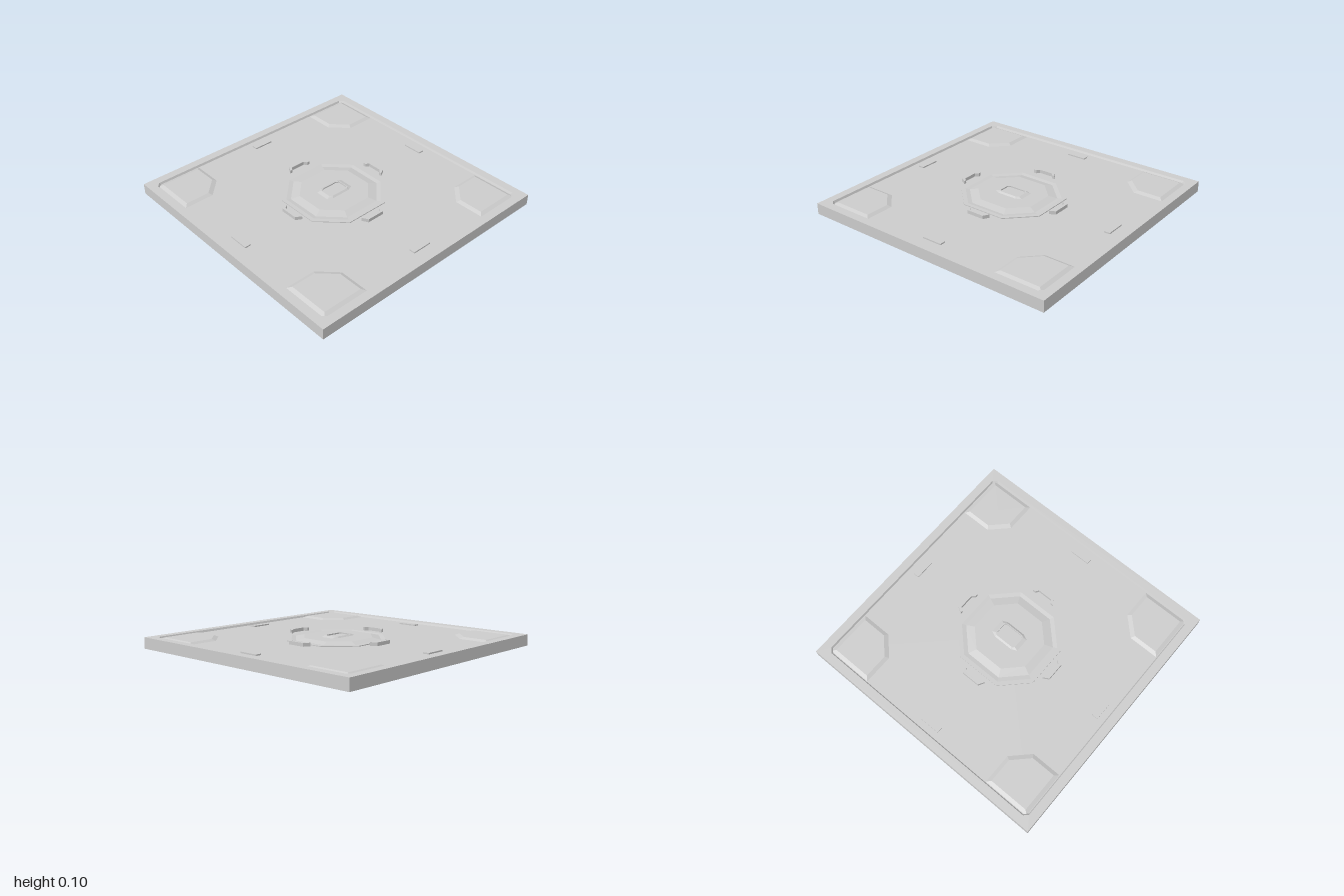
import * as THREE from 'three';

const material = new THREE.MeshStandardMaterial({ color: 0xcccccc, flatShading: true, side: THREE.DoubleSide });
const FRAME = 0.085; // top of the border and of the raised areas
const FLOOR = 0.07;  // sunken panel

// Rectangle with cut corners: half sizes a, b and corner cuts cx, cz
function cutRect(a, b, cx = 0, cz = cx) {
  return [
    [a, b - cz], [a, cz - b], [a - cx, -b], [cx - a, -b],
    [-a, cz - b], [-a, b - cz], [cx - a, b], [a - cx, b],
  ];
}

// Skin a stack of [outline, y] rings from the bottom up and close the last one
function loft(name, rings, closeBottom = false) {
  const pos = [];
  const tri = (...corners) => {
    const [a, b, c] = corners.map((p) => new THREE.Vector3(...p));
    if (new THREE.Triangle(a, b, c).getArea() > 1e-9) pos.push(...a, ...b, ...c);
  };
  const loops = rings.map(([pts, y]) => pts.map(([x, z]) => [x, y, z]));
  const n = loops[0].length;
  const cap = (loop, up) => {
    const mid = [0, 1, 2].map((k) => loop.reduce((s, p) => s + p[k], 0) / n);
    loop.forEach((p, i) => {
      const q = loop[(i + 1) % n];
      if (up) tri(mid, p, q); else tri(mid, q, p);
    });
  };
  for (let r = 0; r + 1 < loops.length; r++) {
    for (let i = 0; i < n; i++) {
      const j = (i + 1) % n, lo = loops[r], hi = loops[r + 1];
      tri(lo[i], lo[j], hi[j]);
      tri(lo[i], hi[j], hi[i]);
    }
  }
  cap(loops[loops.length - 1], true);
  if (closeBottom) cap(loops[0], false);
  const geometry = new THREE.BufferGeometry();
  geometry.setAttribute('position', new THREE.Float32BufferAttribute(pos, 3));
  geometry.computeVertexNormals();
  const mesh = new THREE.Mesh(geometry, material);
  mesh.name = name;
  return mesh;
}

// Corner pad outline, shrunk by d on every side
function padOutline(d) {
  const o = 0.925 - d, n = 0.56 + d, cut = 0.13 - d * 0.4;
  return [[o, o], [o, n], [n + cut, n], [n, n + cut], [n, o]];
}

// U-shaped bracket that opens towards the centre
function makeBracket() {
  const shape = new THREE.Shape([
    [-0.095, 0.39], [-0.07, 0.435], [0.07, 0.435], [0.095, 0.39],
    [0.075, 0.39], [0.057, 0.415], [-0.057, 0.415], [-0.075, 0.39],
  ].map(([x, z]) => new THREE.Vector2(x, -z)));
  const geometry = new THREE.ExtrudeGeometry(shape, { depth: 0.096 - FLOOR, bevelEnabled: false });
  geometry.rotateX(-Math.PI / 2).translate(0, FLOOR, 0);
  const mesh = new THREE.Mesh(geometry, material);
  mesh.name = 'bracket';
  return mesh;
}

export function createModel() {
  const model = new THREE.Group();
  model.name = 'floorTile';

  // Slab with a raised border around a sunken panel
  model.add(loft('slab', [
    [cutRect(1, 1), 0],
    [cutRect(1, 1), FRAME],
    [cutRect(0.936, 0.936, 0.03), FRAME],
    [cutRect(0.928, 0.928, 0.03), FLOOR],
  ], true));

  // Octagonal platform: flat rim, shallow moat, sloped sides
  const octagon = (r) => cutRect(r, r * 0.98, r * 0.52);
  model.add(loft('platform', [
    [octagon(0.36), FLOOR - 0.002],
    [octagon(0.36), FLOOR + 0.006],
    [octagon(0.33), FLOOR + 0.006],
    [octagon(0.3), FLOOR + 0.001],
    [octagon(0.24), FRAME],
  ]));

  // Central boss with a shallow pocket
  model.add(loft('centreBoss', [
    [cutRect(0.122, 0.075, 0.045, 0.02), FRAME - 0.001],
    [cutRect(0.09, 0.06, 0.02, 0.014), 0.095],
    [cutRect(0.083, 0.053, 0.02, 0.014), 0.095],
    [cutRect(0.083, 0.053, 0.02, 0.014), FRAME + 0.001],
  ]));

  // Parts repeated on each side and in each corner
  for (let i = 0; i < 4; i++) {
    const quarter = new THREE.Group();
    quarter.name = `quarter${i + 1}`;
    quarter.rotation.y = i * Math.PI / 2;

    quarter.add(loft('cornerPad', [
      [padOutline(0), FLOOR - 0.001],
      [padOutline(0.03), FRAME - 0.002],
    ]));
    quarter.add(makeBracket());

    const plate = loft('edgePlate', [
      [cutRect(0.079, 0.025, 0.004), FLOOR - 0.001],
      [cutRect(0.079, 0.025, 0.004), FLOOR + 0.01],
    ]);
    plate.position.z = 0.855;
    quarter.add(plate);
    model.add(quarter);
  }
  return model;
}
